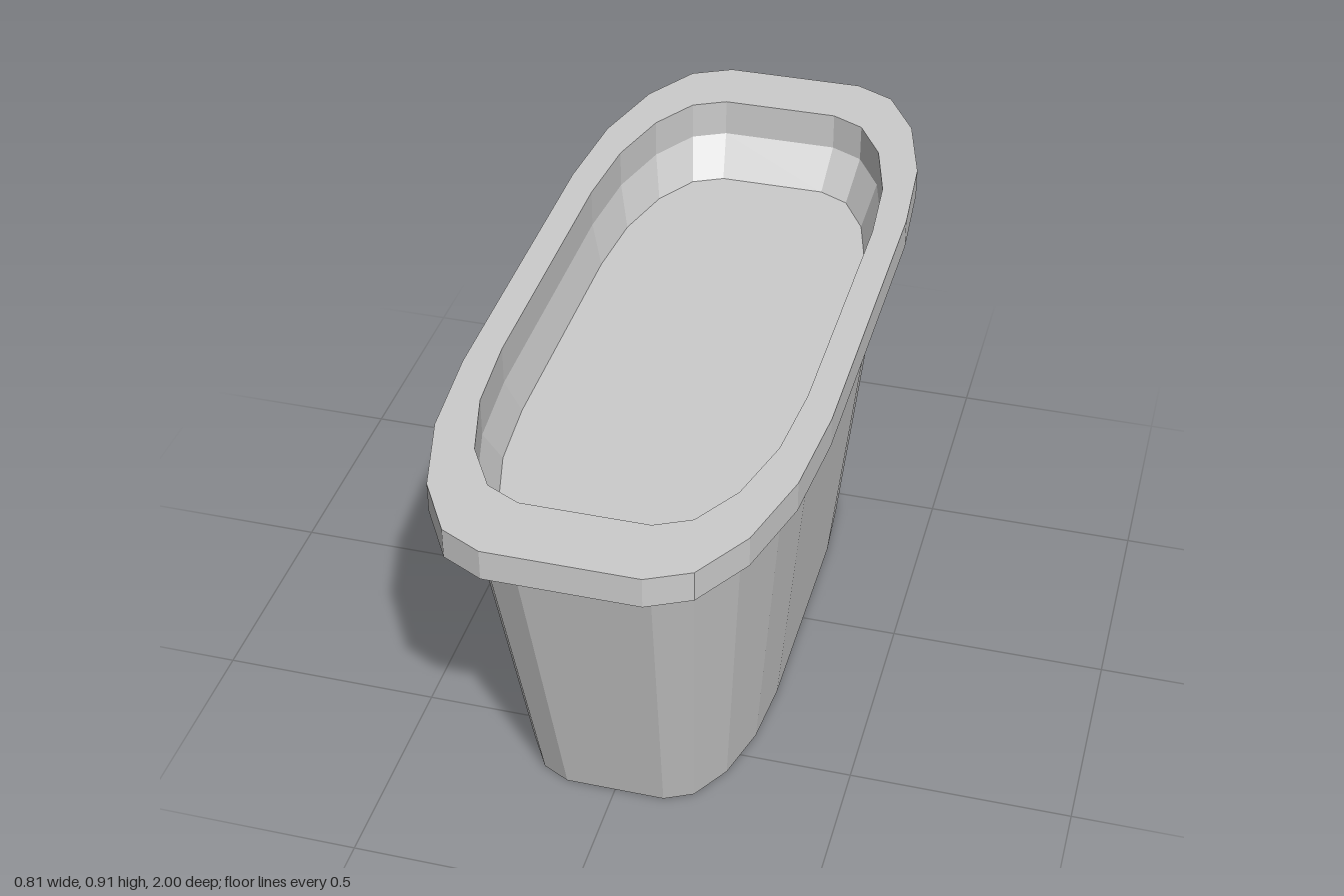
import * as THREE from 'three';

// Rounded oblong outline: four elliptical corners of five points each.
function outline() {
  const points = [];
  for (let corner = 0; corner < 4; corner++) {
    const sx = corner === 0 || corner === 3 ? 1 : -1;
    const sz = corner < 2 ? 1 : -1;
    for (let i = 0; i <= 4; i++) {
      const a = (corner + i / 4) * Math.PI / 2;
      points.push([sx * 0.165 + 0.24 * Math.cos(a), sz * 0.4 + 0.6 * Math.sin(a)]);
    }
  }
  return points;
}

// Skins the outline along a profile of [scale, height]; scale 0 closes to the centre.
function loft(name, profile, material) {
  const ring = outline();
  const positions = [];
  const at = (level, i) => {
    const [scale, y] = profile[level];
    const [x, z] = ring[i % ring.length];
    return [x * scale, y, z * scale];
  };
  for (let k = 0; k < profile.length - 1; k++) {
    for (let i = 0; i < ring.length; i++) {
      const a = at(k, i), b = at(k + 1, i), c = at(k + 1, i + 1), d = at(k, i + 1);
      if (profile[k + 1][0] > 0) positions.push(...a, ...b, ...c);
      if (profile[k][0] > 0) positions.push(...a, ...(profile[k + 1][0] > 0 ? c : b), ...d);
    }
  }
  const geometry = new THREE.BufferGeometry();
  geometry.setAttribute('position', new THREE.Float32BufferAttribute(positions, 3));
  geometry.computeVertexNormals();
  const mesh = new THREE.Mesh(geometry, material);
  mesh.name = name;
  return mesh;
}

export function createModel() {
  const group = new THREE.Group();
  group.name = 'planter';
  const material = new THREE.MeshStandardMaterial({ color: 0xcccccc, flatShading: true });

  // Tapered body with a flat base
  group.add(loft('body', [[0, 0], [0.68, 0], [0.865, 0.748]], material));

  // Flared collar, upright lip, flat top and inner wall
  group.add(loft('rim', [
    [0.865, 0.748], [0.915, 0.777], [1, 0.84], [1, 0.91],
    [0.835, 0.91], [0.835, 0.82], [0.765, 0.73],
  ], material));

  // Flat filling inside the rim
  group.add(loft('soil', [[0.765, 0.73], [0, 0.73]], material));

  return group;
}
